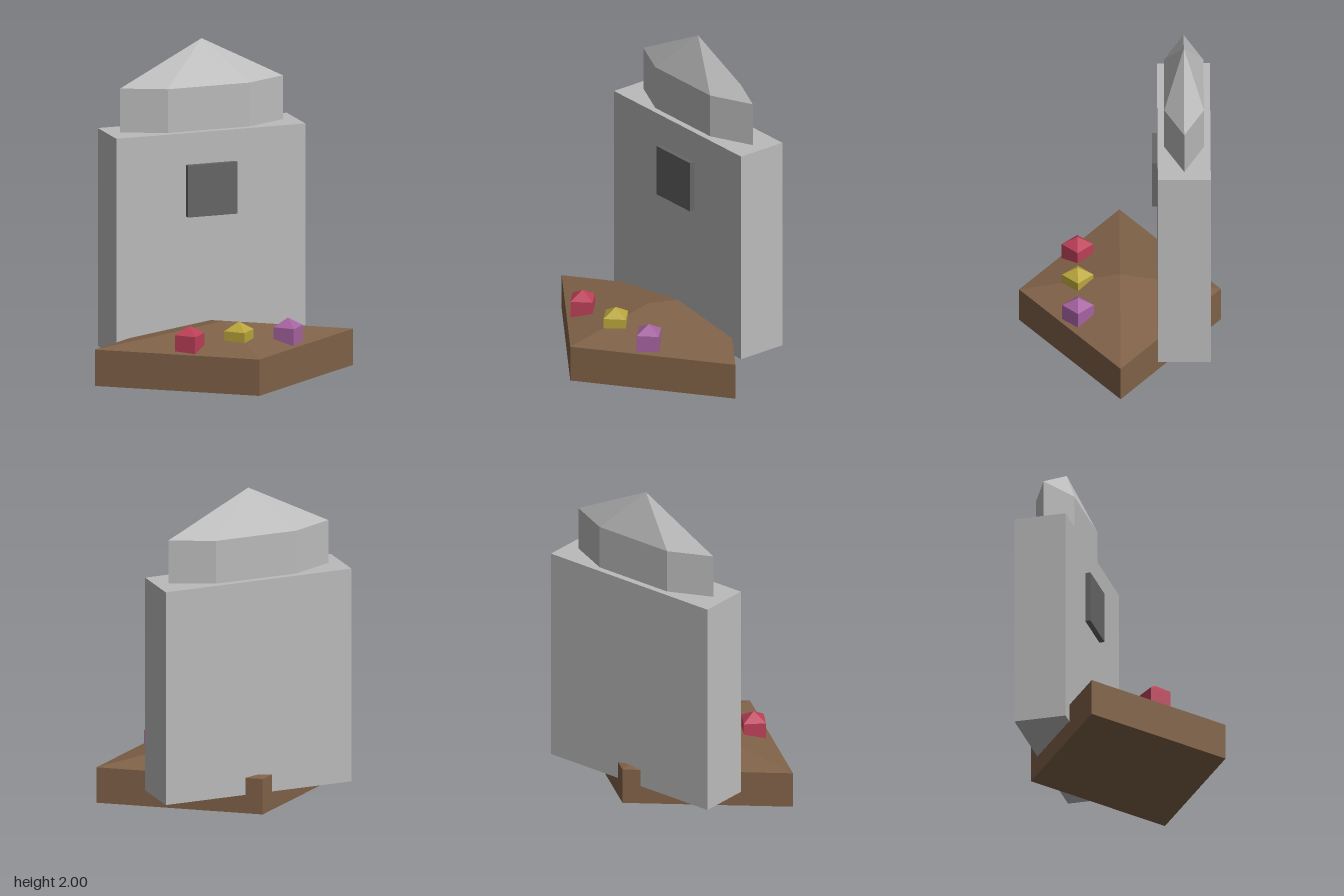
import * as THREE from 'three';

const mat = (name, color) => {
  const m = new THREE.MeshStandardMaterial({ color });
  m.name = name;
  return m;
};

// Flat-faced mesh with one normal per face
function addPart(group, name, geometry, material, x, y, z) {
  const flat = geometry.toNonIndexed();
  flat.computeVertexNormals();
  const mesh = new THREE.Mesh(flat, material);
  mesh.name = name;
  mesh.position.set(x, y, z);
  group.add(mesh);
}

// Faceted sphere with three bands: pointed top, straight sides, pointed bottom
const facetedBall = (sides, rx, ry, rz) =>
  new THREE.SphereGeometry(1, sides, 3).scale(rx, ry, rz);

export function createModel() {
  const group = new THREE.Group();
  group.name = 'gravestone';

  const stone = mat('stone grey', 0xbbbbbb);
  const plate = mat('dark grey', 0x666666);
  const soil = mat('soil brown', 0x806248);
  const flowers = [
    ['redFlower', mat('red', 0xbc4058), -0.3],
    ['yellowFlower', mat('yellow', 0xbaa63c), 0],
    ['purpleFlower', mat('purple', 0xa563a0), 0.3],
  ];

  // Earth mound
  addPart(group, 'mound', facetedBall(4, 0.907, 0.212, 0.664), soil, 0, 0.212, 0);

  // Headstone slab with its pointed crown
  addPart(group, 'headstone', new THREE.BoxGeometry(1.15, 1.272, 0.302), stone, 0, 0.852, -0.364);
  addPart(group, 'crown', facetedBall(6, 0.572, 0.512, 0.151), stone, 0, 1.488, -0.364);

  // Plaque on the slab's front
  addPart(group, 'plaque', new THREE.BoxGeometry(0.302, 0.302, 0.06), plate, 0, 1.152, -0.212);

  // Row of flowers
  for (const [name, material, x] of flowers) {
    addPart(group, name, facetedBall(4, 0.104, 0.1, 0.104), material, x, 0.371, 0.241);
  }
  return group;
}
